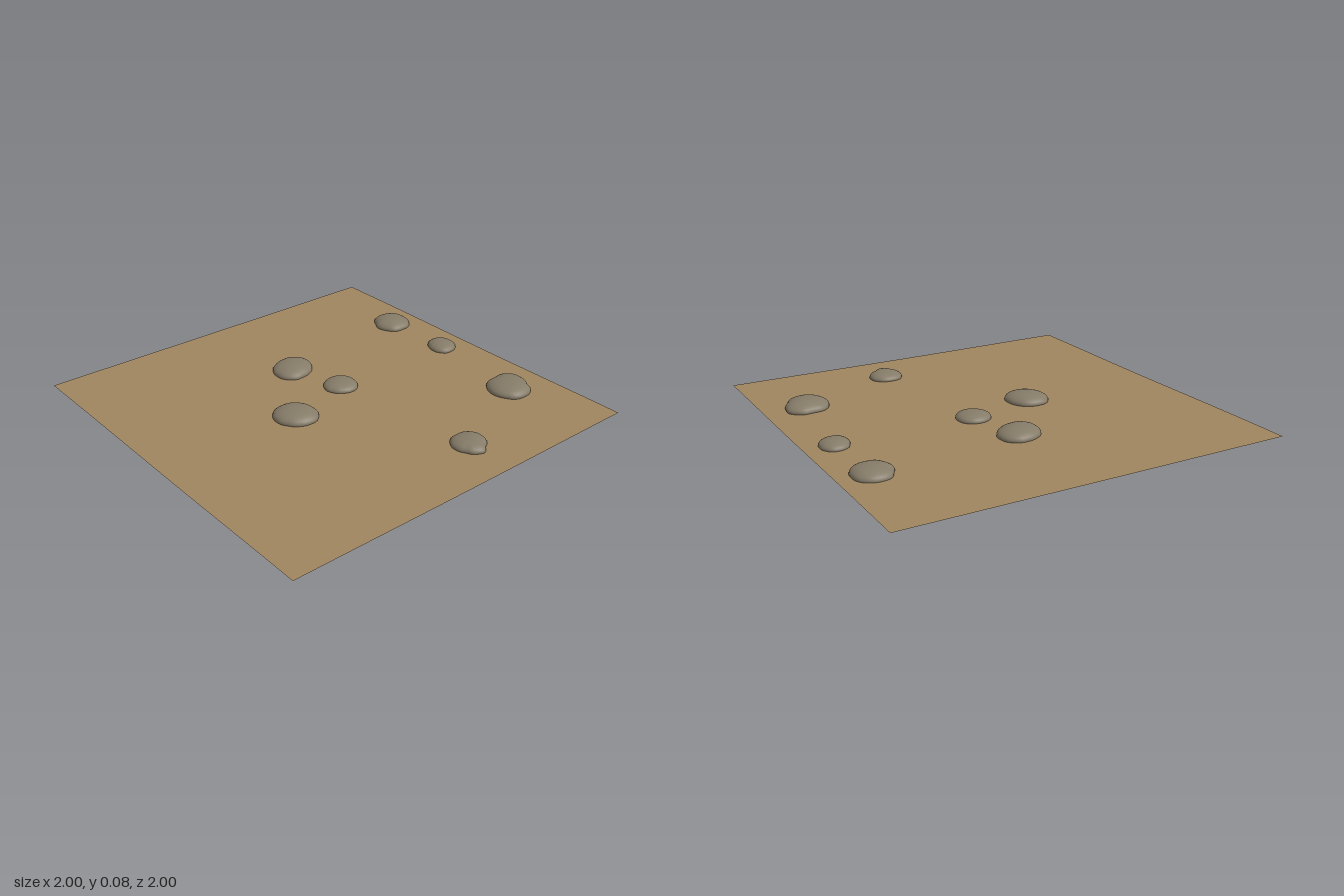
import * as THREE from 'three';
import { mergeVertices } from 'three/addons/utils/BufferGeometryUtils.js';

const GROUND_Y = 0.042;

// Each stone: centre x, z, lowest and highest y, and the outline radius (hundredths)
// every 30 degrees, going from +x towards +z.
const STONES = [
  { x: -0.453, z: -0.83, y0: 0.008, y1: 0.085, r: [10, 10.7, 10, 10, 9, 10, 10, 10.3, 10.5, 10, 10.3, 10.5] },
  { x: -0.066, z: -0.848, y0: 0.014, y1: 0.075, r: [8, 8.6, 8, 7.3, 7, 7.6, 8, 8.4, 8, 7.5, 7.7, 7.8] },
  { x: 0.493, z: -0.775, y0: 0.006, y1: 0.089, r: [11.3, 11.8, 11.2, 11.3, 11.3, 11.5, 10.8, 12.5, 13, 11.2, 10, 11.2] },
  { x: 0.743, z: -0.232, y0: 0.012, y1: 0.079, r: [9.4, 8.8, 8, 8.7, 9.2, 9.6, 9.2, 9.6, 9.5, 8.8, 8.2, 7.3] },
  { x: -0.363, z: -0.05, y0: 0.005, y1: 0.087, r: [10, 11.5, 11.7, 11, 10.6, 10, 10.2, 11.3, 11.8, 11.2, 10.3, 9.8] },
  { x: -0.068, z: -0.128, y0: 0.014, y1: 0.079, r: [8.6, 8.2, 8.3, 8.8, 8.7, 8.5, 8.5, 8.8, 9, 8.8, 8.9, 9] },
  { x: 0.03, z: 0.237, y0: 0.006, y1: 0.089, r: [10.6, 10, 9.8, 10.5, 11.1, 11.3, 10.7, 10.7, 10.5, 10.7, 11.4, 11.5] },
];

// Smoothly blended outline radius at an angle
function outlineRadius(radii, angle) {
  const n = radii.length;
  const t = ((angle / (2 * Math.PI)) * n + n) % n;
  const i = Math.floor(t);
  const f = (1 - Math.cos((t - i) * Math.PI)) / 2;
  return (radii[i % n] * (1 - f) + radii[(i + 1) % n] * f) / 100;
}

// Flattened pebble: a sphere reshaped to the outline and height
function stoneGeometry({ r, y0, y1 }) {
  let geo = new THREE.SphereGeometry(1, 36, 18);
  geo.deleteAttribute('uv');
  geo.deleteAttribute('normal');
  geo = mergeVertices(geo, 1e-5);
  const pos = geo.attributes.position;
  for (let i = 0; i < pos.count; i++) {
    const x = pos.getX(i), y = pos.getY(i), z = pos.getZ(i);
    const angle = Math.atan2(z, x);
    const radius = outlineRadius(r, angle) * Math.pow(Math.hypot(x, z), 0.9);
    pos.setXYZ(i, Math.cos(angle) * radius, (y * (y1 - y0)) / 2, Math.sin(angle) * radius);
  }
  geo.computeVertexNormals();
  return geo;
}

// Nearly flat earth with very faint undulation
function groundGeometry() {
  const geo = new THREE.PlaneGeometry(2, 2, 12, 12).rotateX(-Math.PI / 2);
  const pos = geo.attributes.position;
  for (let i = 0; i < pos.count; i++) {
    const x = pos.getX(i), z = pos.getZ(i);
    pos.setY(i, GROUND_Y + 0.0015 * Math.sin(x * 4 + 1) * Math.cos(z * 3));
  }
  geo.computeVertexNormals();
  return geo;
}

export function createModel() {
  const model = new THREE.Group();
  model.name = 'stonyGround';

  const earth = new THREE.MeshStandardMaterial({ color: 0xa08560, side: THREE.DoubleSide });
  const rock = new THREE.MeshStandardMaterial({ color: 0x857b68 });

  const ground = new THREE.Mesh(groundGeometry(), earth);
  ground.name = 'ground';
  model.add(ground);

  // Half-buried stones
  STONES.forEach((s, i) => {
    const stone = new THREE.Mesh(stoneGeometry(s), rock);
    stone.name = `stone${i + 1}`;
    stone.position.set(s.x, (s.y0 + s.y1) / 2, s.z);
    model.add(stone);
  });

  return model;
}
